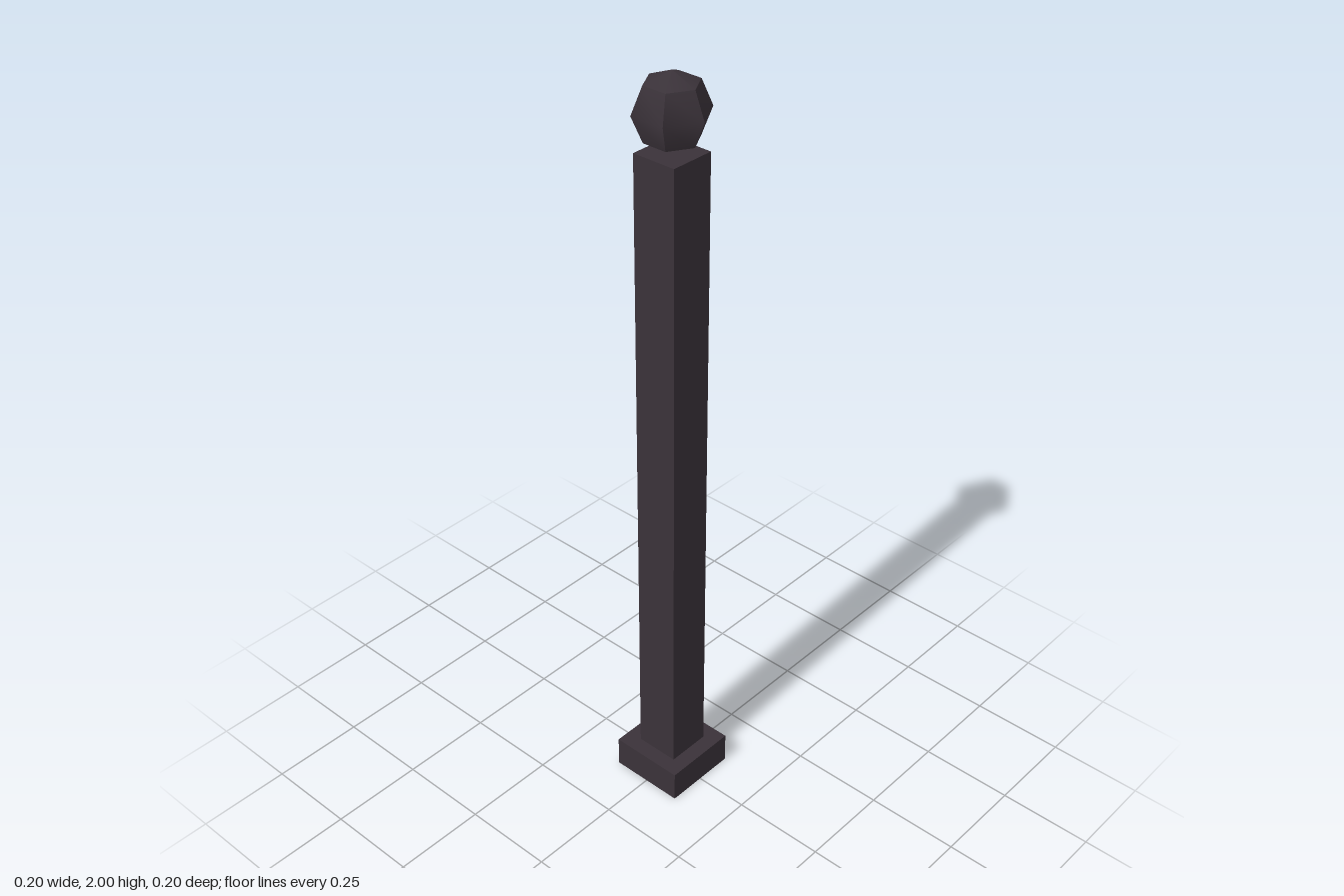
import * as THREE from 'three';
import { toCreasedNormals } from 'three/addons/utils/BufferGeometryUtils.js';

export function createModel() {
  const model = new THREE.Group();
  model.name = 'fencePost';

  const darkIron = new THREE.MeshStandardMaterial({ color: 0x3a3239 });
  darkIron.name = 'darkIron';

  function add(name, geometry, y) {
    const mesh = new THREE.Mesh(geometry, darkIron);
    mesh.name = name;
    mesh.position.y = y;
    model.add(mesh);
    return mesh;
  }

  // Square foot and shaft
  const baseHeight = 0.085;
  const postTop = 1.81;
  add('base', new THREE.BoxGeometry(0.205, baseHeight, 0.205), baseHeight / 2);
  add('post', new THREE.BoxGeometry(0.12, postTop - baseHeight, 0.12), (postTop + baseHeight) / 2);

  // Six-sided ball finial with corners facing front and back
  const radius = 0.0935;
  const ball = toCreasedNormals(new THREE.SphereGeometry(radius, 6, 4), THREE.MathUtils.degToRad(40));
  add('finial', ball, 2 - radius).rotation.y = Math.PI / 2;

  return model;
}
